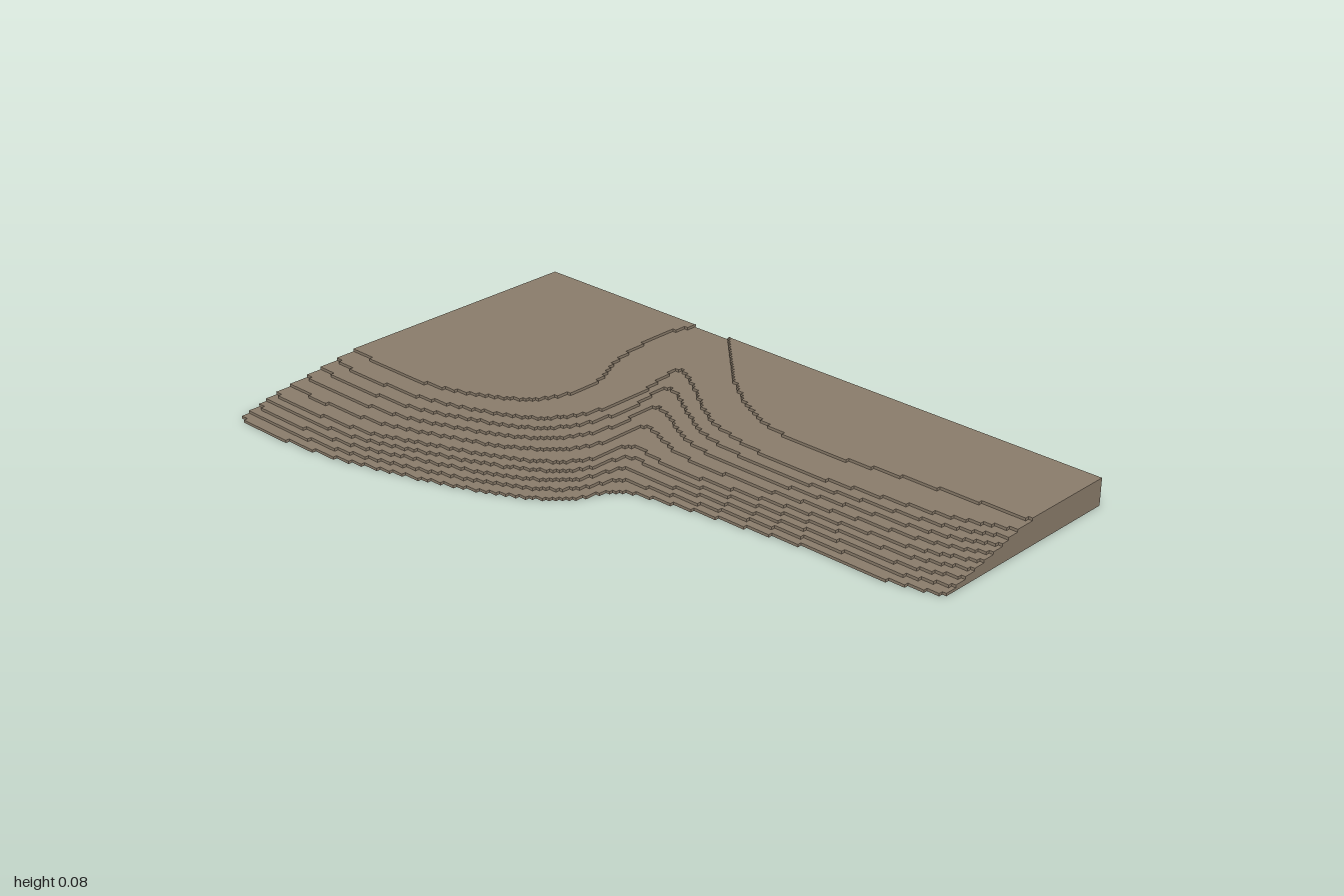
import * as THREE from 'three';

const EAST = 0.605;      // straight side of the block
const STEP = 0.008;      // thickness of one terrace
const CELL = 1 / 82;     // grid the terrace edges are stepped on

// Matching [x, z] stations along the bottom, middle and upper terrace edges
const LOW = [[-0.6, -1], [-0.61, -0.88], [-0.595, -0.72], [-0.575, -0.6], [-0.51, -0.38],
  [-0.45, -0.22], [-0.38, -0.08], [-0.31, 0], [-0.2, 0.06], [-0.165, 0.15],
  [-0.12, 0.4], [-0.085, 0.65], [-0.08, 0.85], [-0.04, 1]];
const MID = [[-0.48, -1], [-0.485, -0.87], [-0.475, -0.72], [-0.45, -0.59], [-0.37, -0.39],
  [-0.31, -0.25], [-0.24, -0.14], [-0.16, -0.08], [-0.03, -0.05], [-0.05, 0.12],
  [-0.02, 0.38], [0.02, 0.63], [0.05, 0.85], [0.11, 1]];
const HIGH = [[-0.255, -1], [-0.28, -0.87], [-0.27, -0.72], [-0.25, -0.59], [-0.19, -0.42],
  [-0.12, -0.3], [0, -0.23], [0.17, -0.22], [0.36, -0.235], [0.18, 0.05],
  [0.12, 0.35], [0.15, 0.63], [0.19, 0.85], [0.25, 1]];

// Top terrace, divided in two by the valley
const TOP_BACK = [[-0.19, -1], [-0.21, -0.81], [-0.19, -0.63], [-0.12, -0.46], [-0.025, -0.365],
  [0.123, -0.345], [0.28, -0.41], [0.49, -0.44], [0.605, -0.41]];
const TOP_FRONT = [[0.605, -0.28], [0.39, -0.06], [0.264, 0.145], [0.23, 0.37], [0.263, 0.625], [0.3, 1]];

const blend = (a, b, t) => a.map(([x, z], i) => [x + (b[i][0] - x) * t, z + (b[i][1] - z) * t]);

// Smooth curve through the stations, turned into small square steps
function steppedEdge(stations) {
  const curve = new THREE.SplineCurve(stations.map(([x, z]) => new THREE.Vector2(x, z)));
  const edge = [];
  for (const p of curve.getPoints(600)) {
    const x = Math.round(p.x / CELL) * CELL;
    const z = THREE.MathUtils.clamp(Math.round(p.y / CELL) * CELL, -1, 1);
    const last = edge[edge.length - 1];
    if (last && last[0] === x && last[1] === z) continue;
    if (last && last[0] !== x && last[1] !== z) edge.push([x, last[1]]);
    edge.push([x, z]);
  }
  return edge;
}

// One slab between its stepped edge and the straight side
function terrace(name, stations, level, material) {
  const edge = steppedEdge(stations);
  const outline = [...edge, [EAST, edge[edge.length - 1][1]], [EAST, edge[0][1]]];
  const shape = new THREE.Shape(outline.map(([x, z]) => new THREE.Vector2(x, -z)));
  const geometry = new THREE.ExtrudeGeometry(shape, { depth: STEP, bevelEnabled: false });
  geometry.rotateX(-Math.PI / 2);
  const mesh = new THREE.Mesh(geometry, material);
  mesh.name = name;
  mesh.position.y = level * STEP;
  return mesh;
}

export function createModel() {
  const group = new THREE.Group();
  group.name = 'terracedTerrain';
  const earth = new THREE.MeshStandardMaterial({ color: 0x8b7d6b });
  earth.name = 'earth brown';

  // Nine terraces climbing from the shore
  for (let i = 0; i <= 8; i++) {
    const stations = i < 4 ? blend(LOW, MID, i / 4) : blend(MID, HIGH, (i - 4) / 4);
    group.add(terrace(`terrace${i + 1}`, stations, i, earth));
  }

  // Two plateaus on either side of the valley
  group.add(terrace('backPlateau', TOP_BACK, 9, earth));
  group.add(terrace('frontPlateau', TOP_FRONT, 9, earth));
  return group;
}
